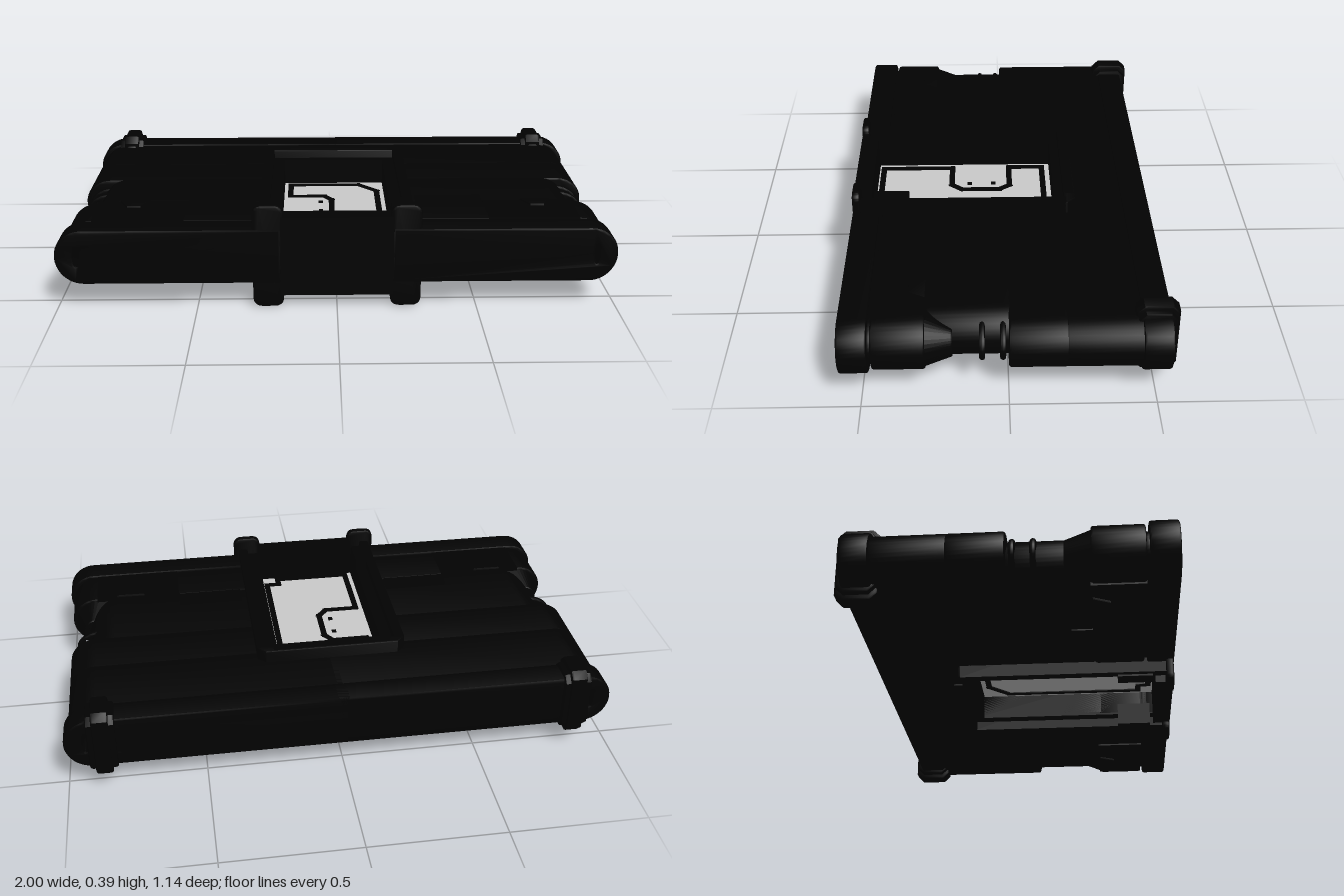
import * as THREE from 'three';
import { toCreasedNormals } from 'three/addons/utils/BufferGeometryUtils.js';

const black = new THREE.MeshStandardMaterial({ color: 0x020202 });
black.name = 'matte black';
const grey = new THREE.MeshStandardMaterial({ color: 0xcacaca });
grey.name = 'light grey';
const MID = 0.193;

export function createModel() {
  const model = new THREE.Group();
  model.name = 'flatDevice';

  const add = (name, geo, mat = black) => {
    const m = new THREE.Mesh(geo, mat);
    m.name = name;
    model.add(m);
    return m;
  };
  const box = (name, x0, x1, y0, y1, z0, z1, mat) =>
    add(name, new THREE.BoxGeometry(x1 - x0, y1 - y0, z1 - z0), mat)
      .position.set((x0 + x1) / 2, (y0 + y1) / 2, (z0 + z1) / 2);

  // Extrusion from 0 to depth whose bevel stays inside the outline
  const extrude = (shape, depth, b = 0.008) => toCreasedNormals(new THREE.ExtrudeGeometry(shape, {
    depth: depth - 2 * b, bevelSize: b, bevelThickness: b, bevelOffset: -b,
    bevelSegments: 2, curveSegments: 16,
  }).translate(0, 0, b), 0.6);

  const poly = pts => new THREE.Shape(pts.map(p => new THREE.Vector2(p[0], p[1])));

  // Cross-section from x0 outward to a rounded end at x1
  const wingShape = (s, x0, x1, y0, y1, slot) => {
    const r = 0.1, h = (y1 - y0) / 2, c = (y0 + y1) / 2;
    const pts = [[s * x0, y0]];
    for (let i = 0; i <= 20; i++) {
      const a = -Math.PI / 2 + Math.PI * i / 20;
      pts.push([s * (x1 - r + r * Math.cos(a)), c + h * Math.sin(a)]);
    }
    pts.push([s * x0, y1]);
    const shape = poly(pts);
    if (slot) {
      const hole = new THREE.Path();
      hole.absellipse(s * 0.925, c, 0.009, 0.035, 0, Math.PI * 2);
      shape.holes.push(hole);
    }
    return shape;
  };
  const wing = (name, s, x0, x1, y0, y1, z0, z1, slot = true) =>
    add(name, extrude(wingShape(s, x0, x1, y0, y1, slot), z1 - z0)).position.z = z0;

  for (const s of [1, -1]) {
    const side = s > 0 ? 'left' : 'right';
    // Body sections, from back to front
    wing(side + 'RearBar', s, -0.02, 1, 0.093, 0.293, -0.545, -0.445);
    wing(side + 'RearBody', s, -0.01, 0.985, 0.1, 0.286, -0.455, -0.19);
    wing(side + 'MiddleBody', s, 0.2, 0.985, 0.1, 0.286, -0.2, 0);
    wing(side + 'WaistBody', s, 0.2, 0.915, 0.1, 0.286, -0.01, 0.3, false);
    wing(side + 'FrontBody', s, 0.2, 0.985, 0.095, 0.295, 0.28, 0.46);
    wing(side + 'FrontGroove', s, 0.2, 0.965, 0.11, 0.275, 0.45, 0.48);
    wing(side + 'FrontBar', s, 0.2, 1, 0.093, 0.298, 0.47, 0.57);

    // Tapered shoulder between the waist and the front body
    const taper = extrude(wingShape(s, 0.8, 0.975, 0.095, 0.29, true), 0.1, 0.004);
    const p = taper.attributes.position;
    for (let i = 0; i < p.count; i++) {
      const k = 1 - p.getZ(i) / 0.1;
      p.setY(i, MID + (p.getY(i) - MID) * (1 - 0.45 * k));
      p.setX(i, s * 0.915 + (p.getX(i) - s * 0.915) * (1 - 0.6 * k));
    }
    taper.computeVertexNormals();
    add(side + 'Shoulder', taper).position.z = 0.19;

    // Side fins at the waist
    for (const z of [0.01, 0.08])
      wing(side + 'Fin', s, 0.8, 0.965, 0.122, 0.264, z, z + 0.02);

    for (const v of [1, -1]) {
      const y = d => MID + v * d;
      const slab = (name, x0, x1, d0, d1, z0, z1) => box(side + name,
        Math.min(s * x0, s * x1), Math.max(s * x0, s * x1),
        Math.min(y(d0), y(d1)), Math.max(y(d0), y(d1)), z0, z1);
      // Raised pads and catches on top and bottom
      slab('Pad', 0.55, 0.88, 0.08, 0.104, 0.275, 0.46);
      slab('WaistRail', 0.3, 0.55, 0.08, 0.098, 0.2, 0.46);
      const latch = poly([[-0.055, 0], [0.055, 0], [0.025, 0.06], [-0.025, 0.06]]);
      const g = extrude(latch, 0.02, 0.003).rotateX(Math.PI / 2);
      add(side + 'Latch', g).position.set(s * 0.745, v > 0 ? y(0.112) : y(0.092), 0.28);
      // Clips beside the window
      slab('Clip', 0.2, 0.26, 0.06, 0.147, 0.36, 0.49);
    }

    // Window frame: outer rail and lower inner ledge
    const rail = (name, x0, x1, y0, y1, z0, z1) =>
      box(side + name, Math.min(s * x0, s * x1), Math.max(s * x0, s * x1), y0, y1, z0, z1);
    rail('FrameRail', 0.243, 0.28, 0.053, 0.335, -0.23, 0.565);
    rail('FrameLedge', 0.2, 0.25, 0.088, 0.302, -0.23, 0.55);

    // Rear bracket: broad strap and narrower ridge
    const strap = (name, w, top, z0, z1) => {
      const c = 0.025, h = top - MID;
      const g = extrude(poly([
        [z0, MID - h + c], [z0 + c, MID - h], [z1 - c, MID - h], [z1, MID - h + c],
        [z1, MID + h - c], [z1 - c, MID + h], [z0 + c, MID + h], [z0, MID + h - c],
      ]), w);
      g.rotateY(-Math.PI / 2);
      add(side + name, g).position.x = s * 0.865 + w / 2;
    };
    strap('BracketStrap', 0.1, 0.308, -0.565, -0.43);
    strap('BracketRidge', 0.06, 0.327, -0.572, -0.425);
    strap('BracketFoot', 0.045, 0.3, -0.5, -0.41);

    // Tall rounded front tab
    const t = new THREE.Shape(), x0 = s * 0.245 - 0.055, x1 = x0 + 0.11, r = 0.035;
    t.moveTo(x0 + r, 0);
    t.lineTo(x1 - r, 0); t.quadraticCurveTo(x1, 0, x1, r);
    t.lineTo(x1, 0.386 - r); t.quadraticCurveTo(x1, 0.386, x1 - r, 0.386);
    t.lineTo(x0 + r, 0.386); t.quadraticCurveTo(x0, 0.386, x0, 0.386 - r);
    t.lineTo(x0, r); t.quadraticCurveTo(x0, 0, x0 + r, 0);
    add(side + 'FrontTab', extrude(t, 0.028)).position.z = 0.539;
  }

  // Rear face ribs
  for (const y of [0.135, MID, 0.251])
    box('rearRib', -0.8, 0.8, y - 0.014, y + 0.014, -0.549, -0.54);

  // Rear and front of the window frame
  const rear = poly([[-0.28, 0.223], [0.28, 0.223], [0.28, 0.235], [0.25, 0.265],
    [-0.25, 0.265], [-0.28, 0.235]]);
  add('rearFrame', extrude(rear, 0.282, 0.005).rotateX(-Math.PI / 2)).position.y = 0.053;
  box('rearLedge', -0.25, 0.25, 0.088, 0.302, -0.23, -0.19);
  box('rearFrameLip', -0.22, 0.22, 0.047, 0.34, -0.26, -0.228);
  box('frontWall', -0.2, 0.2, 0.045, 0.343, 0.502, 0.568);

  // Grey window plate with a dark outline on both faces
  box('windowPlate', -0.203, 0.203, MID - 0.01, MID + 0.01, -0.193, 0.504, grey);
  const line = [
    [-0.175, -0.16], [0.1, -0.16], [0.172, -0.085], [0.172, 0.445], [0.122, 0.445],
    [0.122, 0.485], [-0.172, 0.485], [-0.172, 0.205], [-0.045, 0.205], [-0.012, 0.165],
    [-0.012, 0.015], [-0.04, -0.025], [-0.175, -0.025],
  ];
  for (const y of [MID + 0.011, MID - 0.011]) {
    line.forEach(([ax, az], i) => {
      const [bx, bz] = line[(i + 1) % line.length];
      const len = Math.hypot(bx - ax, bz - az);
      const m = add('plateOutline', new THREE.BoxGeometry(len + 0.02, 0.006, 0.022));
      m.position.set((ax + bx) / 2, y, (az + bz) / 2);
      m.rotation.y = -Math.atan2(bz - az, bx - ax);
    });
    for (const z of [0.04, 0.135])
      box('plateDot', -0.063, -0.046, y - 0.003, y + 0.003, z - 0.009, z + 0.009);
  }
  return model;
}
